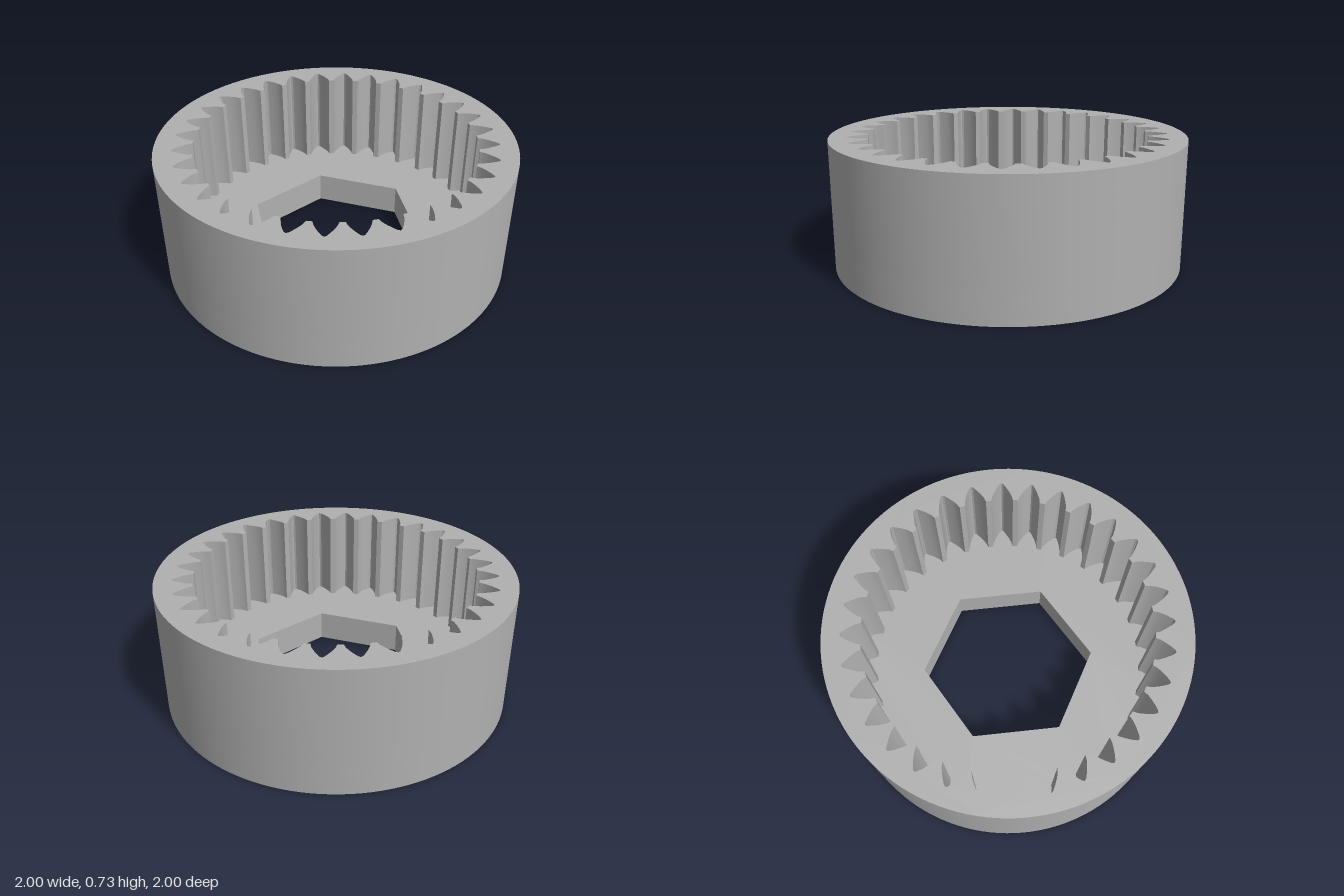
import * as THREE from 'three';
import { toCreasedNormals } from 'three/addons/utils/BufferGeometryUtils.js';

const HEIGHT = 0.725, FLOOR = 0.18, TEETH = 32;

// Round disc outline with one hole, extruded upward from y0 to y1
function discWithHole(points, y0, y1) {
  const shape = new THREE.Shape().absarc(0, 0, 1, 0, Math.PI * 2, false);
  shape.holes.push(new THREE.Path(points));
  const geometry = new THREE.ExtrudeGeometry(shape, {
    depth: y1 - y0, bevelEnabled: false, curveSegments: 64,
  });
  geometry.rotateX(-Math.PI / 2).translate(0, y0, 0);
  return toCreasedNormals(geometry, 0.3);
}

// Internal gear outline: half a groove as [radius, half width], mirrored
function gearOutline() {
  const half = [[0.787, 0.062], [0.815, 0.056], [0.845, 0.042], [0.873, 0.026], [0.895, 0.011]];
  const groove = [
    ...half.map(([r, w]) => [r, -w]),
    [0.902, 0],
    ...half.slice().reverse(),
  ];
  const points = [];
  for (let i = 0; i < TEETH; i++) {
    const a = (i / TEETH) * Math.PI * 2, c = Math.cos(a), s = Math.sin(a);
    for (const [r, w] of groove) points.push(new THREE.Vector2(r * c - w * s, r * s + w * c));
  }
  return points.reverse();
}

// Hexagonal outline with corners on the x axis
function hexOutline(radius) {
  return Array.from({ length: 6 }, (_, i) => {
    const a = (-i * Math.PI) / 3;
    return new THREE.Vector2(radius * Math.cos(a), radius * Math.sin(a));
  });
}

export function createModel() {
  const group = new THREE.Group();
  group.name = 'ringGear';
  const steel = new THREE.MeshStandardMaterial({ color: 0xb0b0b0 });
  steel.name = 'grey';

  // Floor with the hexagonal through hole
  const floor = new THREE.Mesh(discWithHole(hexOutline(0.508), 0, FLOOR), steel);
  floor.name = 'hexFloor';

  // Toothed ring wall standing on the floor
  const wall = new THREE.Mesh(discWithHole(gearOutline(), FLOOR, HEIGHT), steel);
  wall.name = 'toothedWall';

  group.add(floor, wall);
  return group;
}
